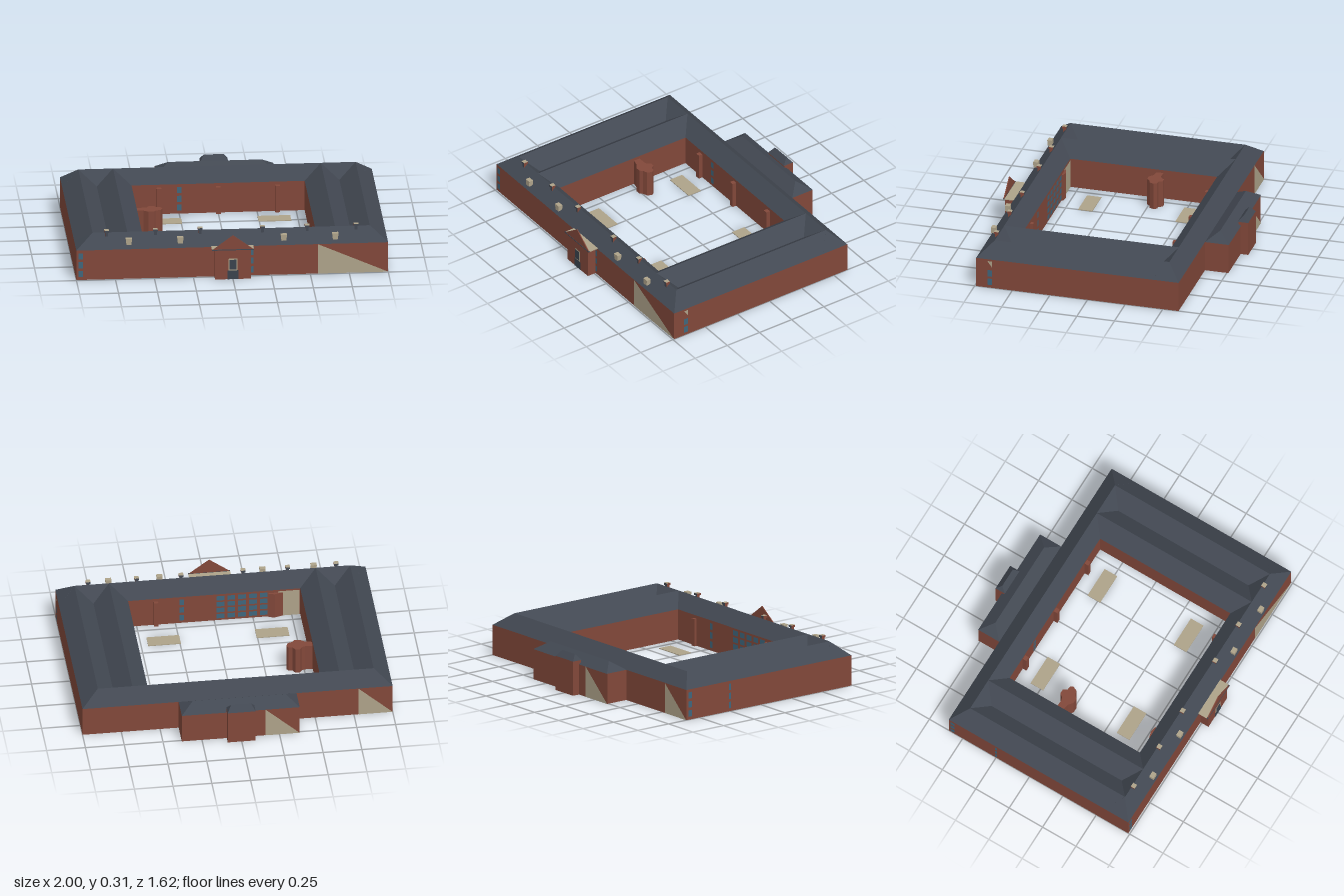
import * as THREE from 'three';

const mat = (name, color, side = THREE.FrontSide) => {
  const m = new THREE.MeshStandardMaterial({ color, side });
  m.name = name;
  return m;
};

// Hipped roof with its ridge along x; inset 0 gives plain gable ends
function roofGeometry(x0, x1, z0, z1, y0, y1, inset) {
  const zm = (z0 + z1) / 2;
  const a = [x0, y0, z1], b = [x1, y0, z1], c = [x1, y0, z0], d = [x0, y0, z0];
  const r0 = [x0 + inset, y1, zm], r1 = [x1 - inset, y1, zm];
  const tris = [a, b, r1, a, r1, r0, b, c, r1, c, d, r0, c, r0, r1, d, a, r0];
  const g = new THREE.BufferGeometry();
  g.setAttribute('position', new THREE.Float32BufferAttribute(tris.flat(), 3));
  g.computeVertexNormals();
  return g;
}

// Upright prism from a plan outline of [x, z] points; a hole winds the other way
function planGeometry(outline, height, hole) {
  const path = pts => pts.map(([x, z]) => new THREE.Vector2(x, -z));
  const s = new THREE.Shape(path(outline));
  if (hole) s.holes.push(new THREE.Path(path(hole).reverse()));
  return new THREE.ExtrudeGeometry(s, { depth: height, bevelEnabled: false }).rotateX(-Math.PI / 2);
}

const rect = (x0, x1, z0, z1) => [[x0, z0], [x1, z0], [x1, z1], [x0, z1]];

export function createModel() {
  const root = new THREE.Group();
  root.name = 'courtyardBuilding';
  const brick = mat('brick', 0x82483a);
  const slate = mat('slate', 0x424852);
  const stone = mat('stone', 0xaea38a, THREE.DoubleSide);
  const glass = mat('glass', 0x3f667c);
  const door = mat('doorGrey', 0x3b434e);

  const add = (name, geometry, material) => {
    const m = new THREE.Mesh(geometry, material);
    m.name = name;
    root.add(m);
    return m;
  };
  const box = (name, material, x0, x1, y0, y1, z0, z1) => {
    const m = add(name, new THREE.BoxGeometry(x1 - x0, y1 - y0, z1 - z0), material);
    m.position.set((x0 + x1) / 2, (y0 + y1) / 2, (z0 + z1) / 2);
  };
  // Flat polygon just proud of a wall; turn = rotation about y
  const panel = (name, material, pts, x, z, turn = 0) => {
    const s = new THREE.Shape(pts.map(p => new THREE.Vector2(...p)));
    const m = add(name, new THREE.ShapeGeometry(s), material);
    m.position.set(x, 0, z);
    m.rotation.y = turn;
  };
  const pane = (name, material, w, y0, y1, x, z, turn) =>
    panel(name, material, [[-w / 2, y0], [w / 2, y0], [w / 2, y1], [-w / 2, y1]], x, z, turn);
  const windowColumn = (x, z, turn, w = 0.03) => {
    for (const y of [0.02, 0.08, 0.14]) pane('window', glass, w, y, y + 0.042, x, z, turn);
  };

  // Main walls around the open courtyard
  const H = 0.2, R = 0.285;
  add('walls', planGeometry(rect(-1, 1, -0.605, 0.74), H, rect(-0.555, 0.555, -0.42, 0.555)), brick);

  // Front and back wing roofs, then the twin ridges of each side wing
  add('frontRoof', roofGeometry(-1, 1, 0.555, 0.74, H, R, 0.11), slate);
  add('backRoof', roofGeometry(-1, 1, -0.605, -0.42, H, R, 0.11), slate);
  for (const [x0, x1] of [[0.555, 0.778], [0.778, 1], [-0.778, -0.555], [-1, -0.778]]) {
    add('sideRoof', roofGeometry(-0.648, 0.512, x0, x1, H, R, 0).rotateY(Math.PI / 2), slate);
  }

  // Back extension and its small annex
  box('extensionWalls', brick, -0.38, 0.38, 0, H, -0.76, -0.6);
  add('extensionRoof', roofGeometry(-0.38, 0.38, -0.763, -0.605, H, 0.255, 0.08), slate);
  box('annexWalls', brick, -0.09, 0.09, 0, 0.226, -0.81, -0.745);
  add('annexRoof', roofGeometry(-0.09, 0.09, -0.81, -0.74, 0.226, 0.265, 0.025), slate);

  // Entrance porch with pediment, cornice and door
  box('porchWalls', brick, -0.115, 0.115, 0, H, 0.73, 0.8);
  box('porchRoof', stone, -0.135, 0.135, H, 0.204, 0.735, 0.8);
  box('cornice', slate, -0.135, 0.135, 0.199, 0.205, 0.798, 0.808);
  const gable = new THREE.Shape([[-0.135, H], [0.135, H], [0, 0.3]].map(p => new THREE.Vector2(...p)));
  add('pediment', new THREE.ExtrudeGeometry(gable, { depth: 0.006, bevelEnabled: false }), brick).position.z = 0.8;
  pane('doorPanel', door, 0.07, 0, 0.06, 0, 0.802);
  pane('doorWindowFrame', stone, 0.06, 0.06, 0.14, 0, 0.802);
  pane('doorWindow', door, 0.046, 0.067, 0.133, 0, 0.804);

  // Pale wedges on the outer walls
  const wedge = w => [[0, 0], [w, 0], [0, H]];
  panel('frontWedge', stone, wedge(0.45), 0.55, 0.742);
  panel('backWedge', stone, wedge(0.22), -0.78, -0.607, Math.PI);
  panel('extensionWedge', stone, wedge(0.22), -0.16, -0.762, Math.PI);
  panel('sideWedge', stone, [[-0.015, 0.188], [0.015, 0.145], [0.015, 0.188]], 1.002, 0.65, Math.PI / 2);

  // Windows on the outer walls
  const q = Math.PI / 2;
  windowColumn(-0.972, 0.742, 0);
  windowColumn(0.126, 0.742, 0, 0.018);
  for (const y of [0.02, 0.08]) pane('window', glass, 0.03, y, y + 0.045, 1.002, 0.65, q);
  windowColumn(-1.002, -0.575, -q);
  windowColumn(-1.002, -0.25, -q, 0.015);

  // Courtyard windows: a grid on the front wing, single columns elsewhere
  for (let i = 0; i < 5; i++) {
    for (let j = 0; j < 4; j++) {
      const y = 0.015 + j * 0.046;
      pane('courtyardWindow', glass, 0.05, y, y + 0.034, -0.04 - i * 0.07, 0.553, Math.PI);
    }
  }
  windowColumn(0.21, 0.553, Math.PI);
  windowColumn(-0.25, -0.418, 0);
  pane('courtyardPanel', stone, 0.14, 0, 0.19, -0.48, 0.553, Math.PI);

  // Brick piers in the courtyard
  for (const x of [-0.38, 0, 0.38]) box('pier', brick, x - 0.015, x + 0.015, 0, 0.18, -0.42, -0.393);
  box('pier', brick, 0.362, 0.39, 0, 0.18, 0.535, 0.555);
  add('cornerButtress', planGeometry([[-0.45, 0.555], [-0.39, 0.537], [-0.35, 0.545], [-0.35, 0.555]], 0.18), brick);

  // Many-sided stair tower joined to the side wing
  add('stairTower', planGeometry([
    [-0.556, -0.065], [-0.505, -0.063], [-0.485, -0.07], [-0.47, -0.093], [-0.44, -0.093],
    [-0.425, -0.067], [-0.4, -0.065], [-0.387, -0.045], [-0.4, -0.015], [-0.43, -0.005],
    [-0.445, 0.013], [-0.48, 0.013], [-0.51, -0.01], [-0.556, -0.02]], 0.18), brick);

  // Courtyard beds
  for (const s of [-1, 1]) {
    for (const z of [-0.278, 0.368]) box('courtyardBed', stone, s * 0.35 - 0.105, s * 0.35 + 0.105, 0, 0.005, z - 0.047, z + 0.047);
  }

  // Chimneys along the front ridge and dormers on the front slope
  const sides = [brick, brick, stone, brick, slate, slate];
  for (const s of [-1, 1]) {
    for (const d of [0.2, 0.487, 0.8]) {
      const x = s * d;
      box('chimney', sides, x - 0.009, x + 0.009, 0.265, 0.295, 0.65, 0.67);
      box('chimneyCap', sides, x - 0.015, x + 0.015, 0.292, 0.306, 0.645, 0.675);
    }
    for (const d of [0.332, 0.662]) {
      const g = new THREE.BoxGeometry(0.04, 0.04, 0.03);
      const p = g.attributes.position;
      for (let i = 0; i < p.count; i++) if (p.getY(i) < 0) p.setX(i, p.getX(i) * 0.8);
      add('dormer', g, stone).position.set(s * d, 0.247, 0.718);
    }
  }
  return root;
}
